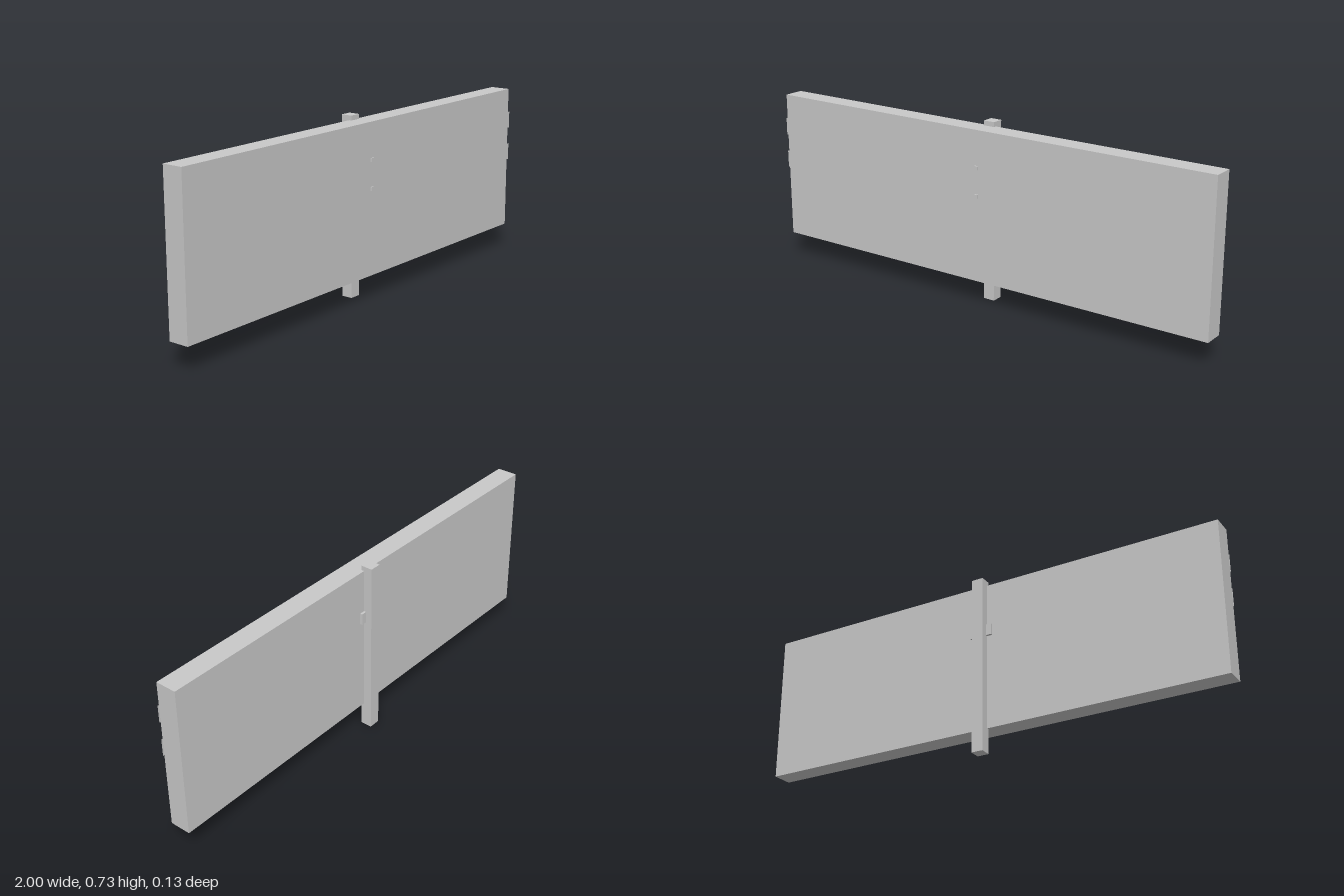
import * as THREE from 'three';

export function createModel() {
  const model = new THREE.Group();
  model.name = 'signOnPost';
  const grey = new THREE.MeshStandardMaterial({ color: 0xc8c8c8, side: THREE.DoubleSide });
  grey.name = 'grey';

  const add = (name, geometry, y, z) => {
    const mesh = new THREE.Mesh(geometry, grey);
    mesh.name = name;
    mesh.position.set(0, y, z);
    model.add(mesh);
  };

  // Box given by its extents on each axis, symmetric in x
  const box = (name, halfWidth, [y0, y1], [z0, z1]) =>
    add(name, new THREE.BoxGeometry(2 * halfWidth, y1 - y0, z1 - z0), (y0 + y1) / 2, (z0 + z1) / 2);

  // Main board and the post behind it
  box('board', 1, [0.1, 0.714], [-0.0315, 0.054]);
  box('post', 0.024, [0, 0.733], [-0.067, -0.02]);

  // Clamp plate on the back of the board, showing either side of the post
  box('clampPlate', 0.047, [0.49, 0.537], [-0.0415, -0.0315]);

  // Two full-width sheets standing just off the board, each with a small stud
  [['upper', 0.578, 0.5675], ['lower', 0.436, 0.4535]].forEach(([side, sheetY, studY]) => {
    add(side + 'Sheet', new THREE.PlaneGeometry(2, 0.071), sheetY, 0.061);
    box(side + 'Stud', 0.0075, [studY - 0.0075, studY + 0.0075], [0.061, 0.067]);
  });

  return model;
}
